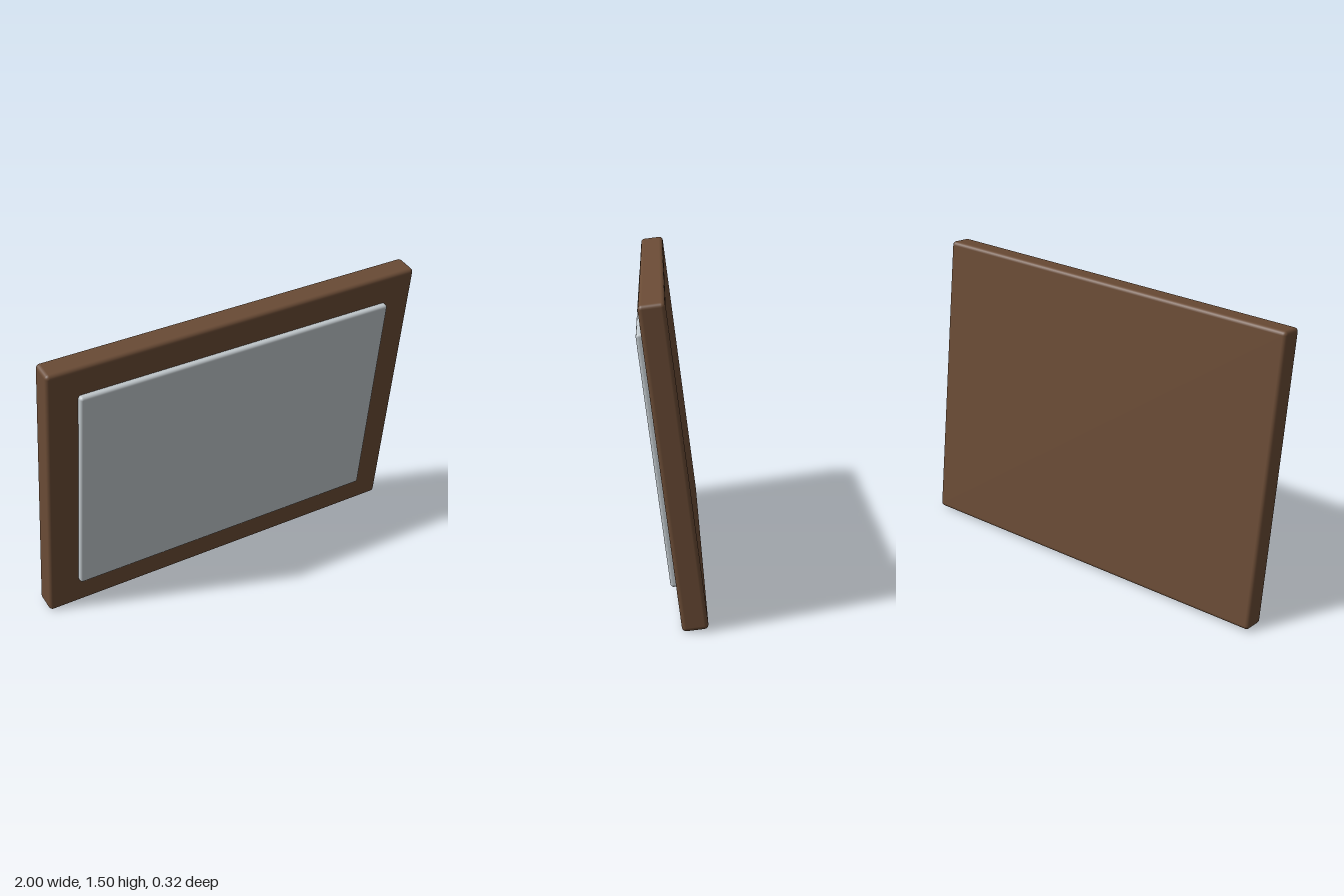
import * as THREE from 'three';
import { RoundedBoxGeometry } from 'three/addons/geometries/RoundedBoxGeometry.js';

const wood = new THREE.MeshStandardMaterial({ name: 'brown wood', color: 0x6a4b35 });
const glass = new THREE.MeshStandardMaterial({ name: 'pale grey panel', color: 0xc0c7cb });

// Softly rounded slab centred on the given local position
function slab(name, [w, h, d], radius, material, [x, y, z]) {
  const mesh = new THREE.Mesh(new RoundedBoxGeometry(w, h, d, 3, radius), material);
  mesh.name = name;
  mesh.position.set(x, y, z);
  return mesh;
}

export function createModel() {
  const model = new THREE.Group();
  model.name = 'framedPanel';

  // The whole panel leans forward at the top
  const tilted = new THREE.Group();
  tilted.name = 'tiltedPanel';
  tilted.rotation.x = THREE.MathUtils.degToRad(7.5);
  tilted.position.set(0, 0.75, -0.003);

  // Wooden backing frame, with the raised panel let into its front
  tilted.add(slab('frame', [2, 1.5, 0.12], 0.02, wood, [0, 0, 0]));
  tilted.add(slab('frontPanel', [1.69, 1.19, 0.04], 0.015, glass, [0, 0.003, 0.07]));

  model.add(tilted);
  return model;
}
